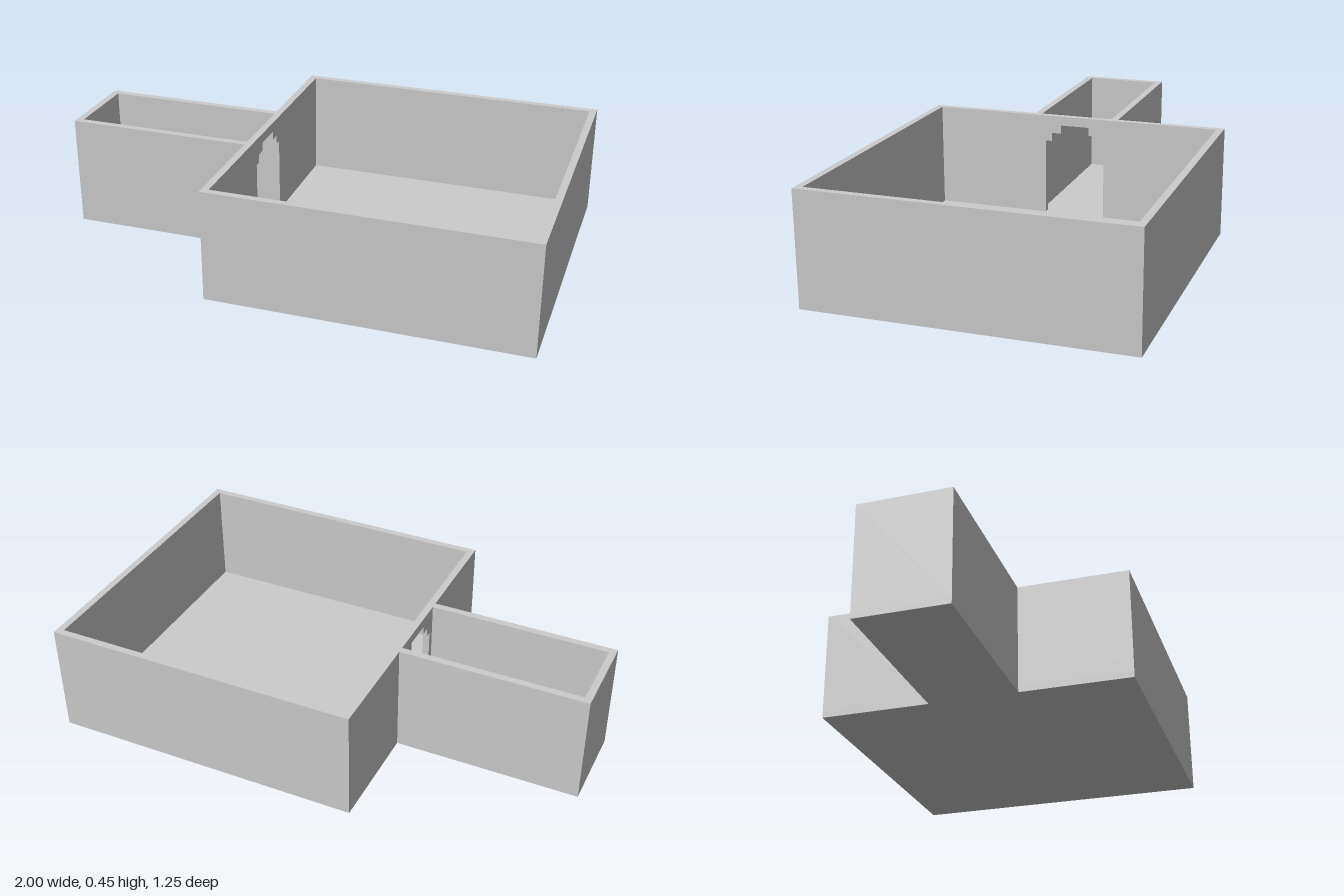
import * as THREE from 'three';

const HEIGHT = 0.448, FLOOR = 0.025, WALL = 0.028;
const ROOM_LEFT = -0.256, ROOM_HALF = 0.625, PASSAGE_HALF = 0.18;

const material = new THREE.MeshStandardMaterial({ color: 0xcccccc, flatShading: true });

const points = (list) => list.map(([x, y]) => new THREE.Vector2(x, y));

// T-shaped plan of room plus passage, drawn in x and -z
function plan(inset) {
  const room = ROOM_HALF - inset, passage = PASSAGE_HALF - inset;
  const left = ROOM_LEFT + inset, end = 1 - inset;
  return points([
    [-end, -passage], [left, -passage], [left, -room], [end, -room],
    [end, room], [left, room], [left, passage], [-end, passage],
  ]);
}

function part(name, shape, depth) {
  const geometry = new THREE.ExtrudeGeometry(shape, { depth, bevelEnabled: false });
  const mesh = new THREE.Mesh(geometry, material);
  mesh.name = name;
  return mesh;
}

export function createModel() {
  const group = new THREE.Group();
  group.name = 'roomWithPassage';

  // Floor slab
  const floor = part('floor', new THREE.Shape(plan(0)), FLOOR);
  floor.geometry.rotateX(-Math.PI / 2);

  // Outer walls around both spaces
  const outline = new THREE.Shape(plan(0));
  outline.holes.push(new THREE.Path(plan(WALL)));
  const walls = part('outerWalls', outline, HEIGHT - FLOOR);
  walls.geometry.rotateX(-Math.PI / 2);
  walls.position.y = FLOOR;

  // Dividing wall with a stepped arch doorway
  const half = PASSAGE_HALF - WALL;
  const arch = [[0.127, FLOOR], [0.127, 0.34], [0.1, 0.34], [0.1, 0.375], [0.06, 0.375], [0.06, 0.41]];
  const mirrored = arch.map(([z, y]) => [-z, y]).reverse();
  const divider = part('doorwayWall', new THREE.Shape(points([
    [half, FLOOR], [half, HEIGHT], [-half, HEIGHT], [-half, FLOOR],
    ...mirrored.reverse(), ...arch.reverse(),
  ])), WALL);
  divider.geometry.rotateY(Math.PI / 2);
  divider.position.x = ROOM_LEFT;

  group.add(floor, walls, divider);
  return group;
}
